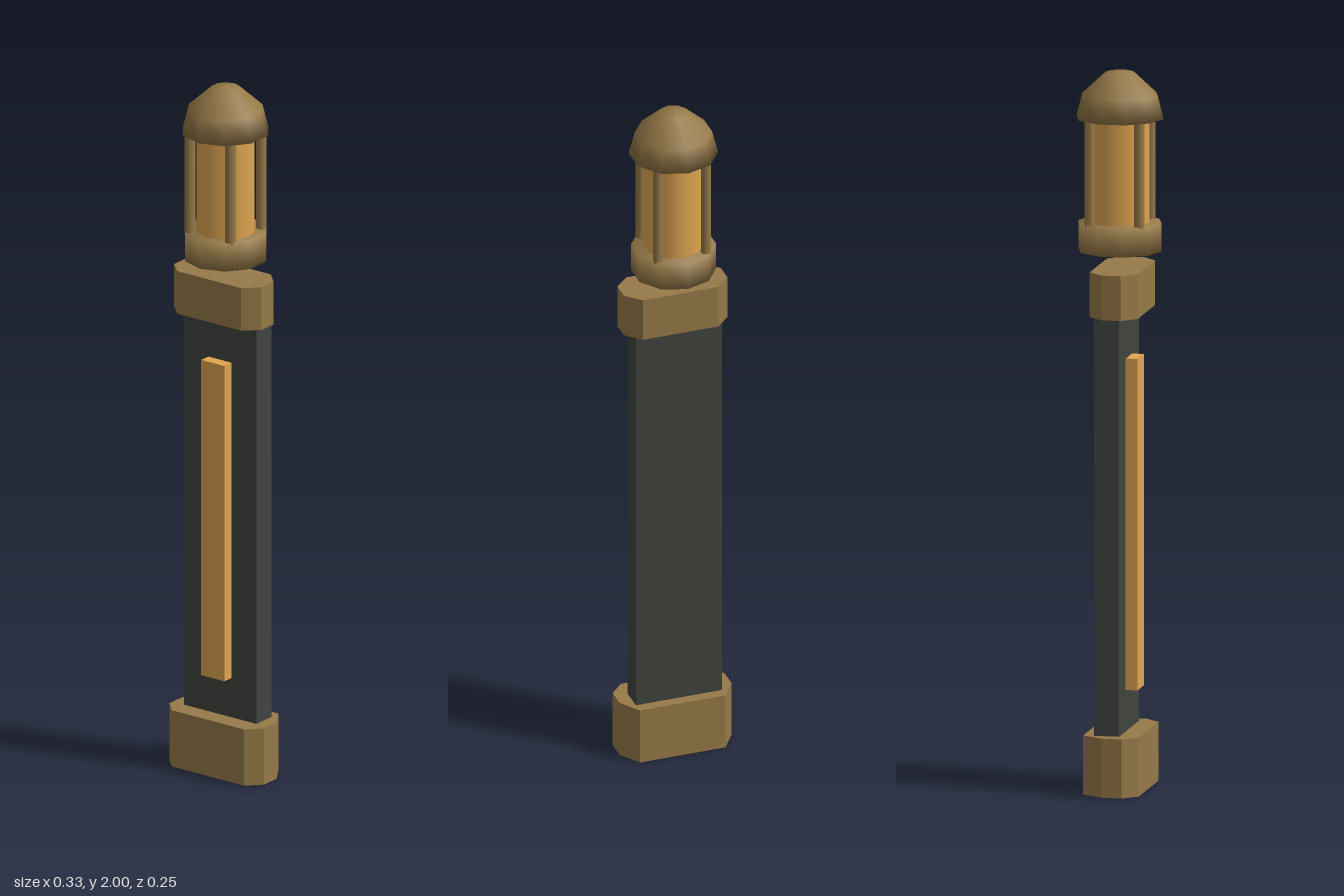
import * as THREE from 'three';

const brass = new THREE.MeshStandardMaterial({ color: 0x967a48 });
const iron = new THREE.MeshStandardMaterial({ color: 0x41443f });
const amber = new THREE.MeshStandardMaterial({ color: 0xe0a550 });

export function createModel() {
  const model = new THREE.Group();

  const add = (name, geometry, material, x = 0, y = 0, z = 0) => {
    const mesh = new THREE.Mesh(geometry, material);
    mesh.name = name;
    mesh.position.set(x, y, z);
    model.add(mesh);
  };

  // Upright block with cut corners; the front and back cuts differ in depth
  const cutBlock = (halfX, cornerX, front, frontCut, backCut, back, height) => {
    const right = [[cornerX, -front], [halfX, -frontCut], [halfX, -backCut], [cornerX, -back]];
    const left = right.map(([x, y]) => [-x, y]).reverse();
    const shape = new THREE.Shape([...right, ...left].map(([x, y]) => new THREE.Vector2(x, y)));
    return new THREE.ExtrudeGeometry(shape, { depth: height, bevelEnabled: false }).rotateX(-Math.PI / 2);
  };

  // Ten-sided turned piece with soft shading
  const turned = (profile) =>
    new THREE.LatheGeometry(profile.map(([r, y]) => new THREE.Vector2(r, y)), 10);

  // Pillar
  add('base', cutBlock(0.163, 0.125, 0.08, 0.04, -0.017, -0.076, 0.165), brass);
  add('column', new THREE.BoxGeometry(0.25, 1.17, 0.07), iron, 0, 0.748, -0.01);
  add('lightStrip', new THREE.BoxGeometry(0.08, 0.925, 0.034), amber, 0, 0.743, 0.041);
  add('capital', cutBlock(0.151, 0.11, 0.074, 0.035, -0.019, -0.061, 0.125), brass, 0, 1.33);

  // Lantern, floating just above the capital
  add('lanternBase', turned([[0, 1.5], [0.117, 1.5], [0.117, 1.58], [0, 1.58]]), brass);
  add('lanternGlass', new THREE.CylinderGeometry(0.083, 0.083, 0.3, 10), amber, 0, 1.725);
  for (const x of [-0.07, 0.07]) {
    for (const z of [-0.07, 0.07]) {
      add('lanternPost', new THREE.CylinderGeometry(0.015, 0.015, 0.3, 8), brass, x, 1.725, z);
    }
  }
  add('lanternDome', turned([[0, 1.87], [0.123, 1.87], [0.106, 1.936], [0.04, 1.997], [0, 2]]), brass);

  return model;
}
